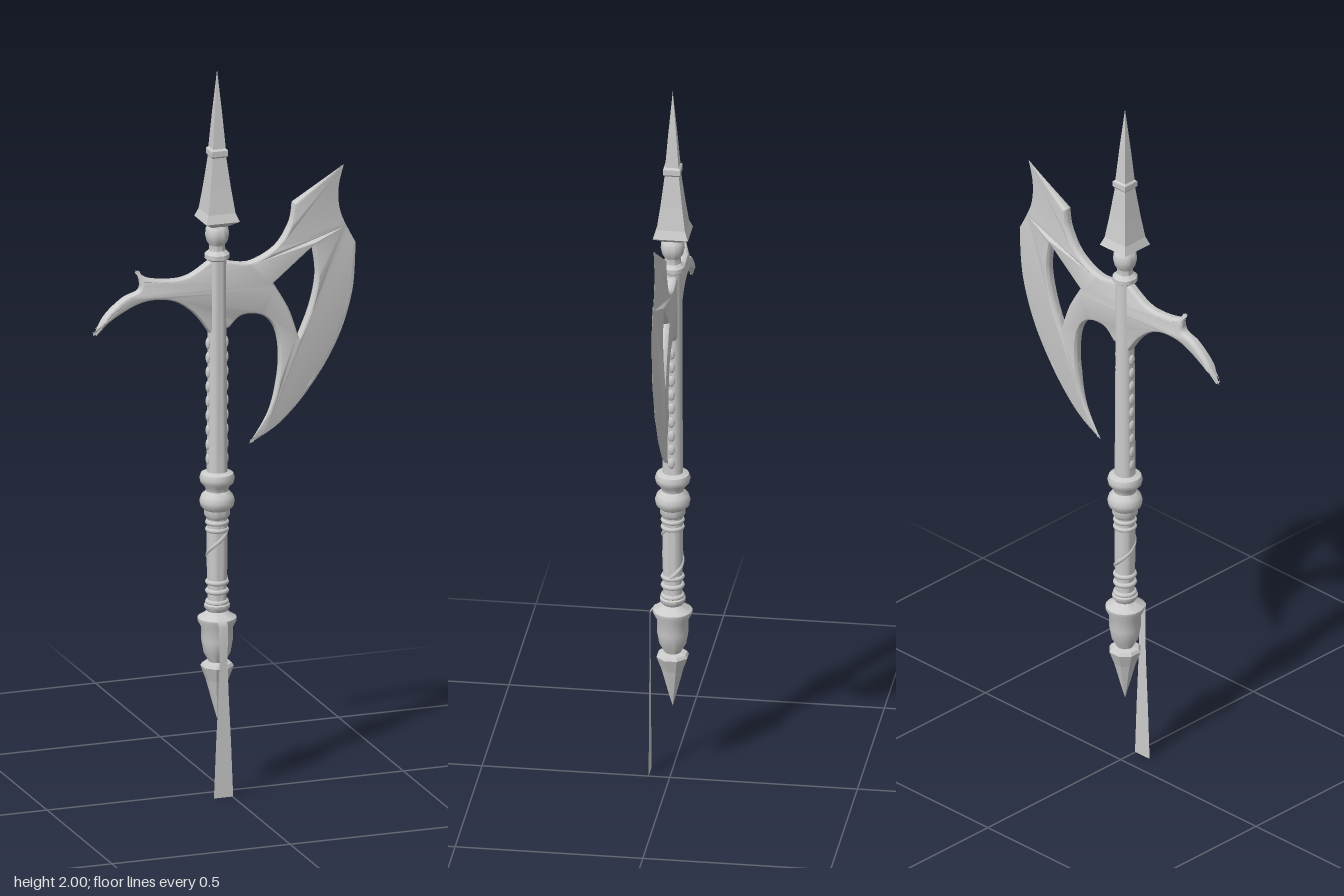
import * as THREE from 'three';
import { toCreasedNormals } from 'three/addons/utils/BufferGeometryUtils.js';

const AX = -0.021, AZ = -0.005; // pole axis
const smooth = new THREE.MeshStandardMaterial({ color: 0xcccccc });
const flat = new THREE.MeshStandardMaterial({ color: 0xcccccc, flatShading: true });
const thin = new THREE.MeshStandardMaterial({ color: 0xcccccc, side: THREE.DoubleSide });

const V = (pts) => pts.map(([x, y]) => new THREE.Vector2(x, y));

function part(name, geometry, material = smooth) {
  const mesh = new THREE.Mesh(geometry, material);
  mesh.name = name;
  return mesh;
}

// Round turning from [radius, y] pairs, bottom to top
const turned = (profile) => toCreasedNormals(new THREE.LatheGeometry(V(profile), 24), 0.7);

// Faceted turning: half-width is measured across the flats
function faceted(profile, sides) {
  const k = 1 / Math.cos(Math.PI / sides);
  const pts = V(profile.map(([r, y]) => [r * k, y]));
  return new THREE.LatheGeometry(pts, sides, Math.PI / sides).toNonIndexed();
}

// Path made of smooth runs that meet at sharp corners
function runs(path, list) {
  path.moveTo(...list[0][0]);
  for (const run of list) {
    if (run.length === 2) path.lineTo(...run[1]);
    else path.splineThru(V(run.slice(1)));
  }
  return path;
}

// Axe blade, hub and back hook as one plate, ground thin at the cutting edge
function headGeometry() {
  const upperEdge = [[0.335, 1.695], [0.32, 1.63], [0.327, 1.56], [0.368, 1.475]];
  const lowerEdge = [[0.368, 1.475], [0.358, 1.34], [0.315, 1.21], [0.24, 1.09], [0.155, 1.0], [0.068, 0.95]];
  const shape = runs(new THREE.Shape(), [
    [[0.01, 1.463], [0.07, 1.456], [0.14, 1.49], [0.18, 1.55], [0.19, 1.605]],
    [[0.19, 1.605], [0.335, 1.695]],
    upperEdge,
    lowerEdge,
    [[0.068, 0.95], [0.122, 1.035], [0.147, 1.13], [0.15, 1.21], [0.135, 1.27], [0.1, 1.305], [0.045, 1.31], [0.01, 1.28]],
    [[0.01, 1.28], [-0.045, 1.27]],
    [[-0.045, 1.27], [-0.09, 1.33], [-0.15, 1.37], [-0.23, 1.375], [-0.31, 1.34], [-0.37, 1.295]],
    [[-0.37, 1.295], [-0.335, 1.35], [-0.285, 1.392], [-0.24, 1.413], [-0.25, 1.465]],
    [[-0.25, 1.465], [-0.215, 1.44], [-0.15, 1.43], [-0.1, 1.437], [-0.045, 1.47]],
    [[-0.045, 1.47], [0.01, 1.463]],
  ]);
  shape.holes.push(runs(new THREE.Path(), [
    [[0.245, 1.48], [0.135, 1.39]],
    [[0.135, 1.39], [0.178, 1.315], [0.205, 1.235]],
    [[0.205, 1.235], [0.237, 1.315], [0.254, 1.4], [0.245, 1.48]],
  ]));
  const geo = new THREE.ExtrudeGeometry(shape, {
    depth: 0.004, curveSegments: 6, bevelEnabled: true, bevelSegments: 3,
    bevelThickness: 0.013, bevelSize: 0.008, bevelOffset: -0.008,
  });
  geo.translate(0, 0, -0.002);

  const edge = [upperEdge, lowerEdge].flatMap((e) => new THREE.SplineCurve(V(e)).getPoints(30));
  const tips = V([[-0.37, 1.295], [-0.25, 1.465]]);
  const pos = geo.attributes.position;
  const p = new THREE.Vector2();
  for (let i = 0; i < pos.count; i++) {
    p.set(pos.getX(i), pos.getY(i));
    const dEdge = Math.min(...edge.map((q) => q.distanceTo(p))) / 0.09;
    const dTip = Math.min(...tips.map((q) => q.distanceTo(p))) / 0.05;
    pos.setZ(i, pos.getZ(i) * Math.min(1, dEdge, dTip));
  }
  geo.translate(0, 0, AZ);
  return toCreasedNormals(geo, 0.6);
}

// Hanging ribbon: rows of [y, z, half-width], hooked over the pommel rim
function ribbonGeometry() {
  const rows = [[0.5, 0.022, 0.008], [0.485, 0.045, 0.012], [0.47, 0.056, 0.013], [0.38, 0.056, 0.011],
    [0.29, 0.056, 0.014], [0.15, 0.056, 0.021], [0, 0.056, 0.027]];
  const geo = new THREE.PlaneGeometry(1, 1, 1, rows.length - 1);
  const pos = geo.attributes.position;
  rows.forEach(([y, z, w], r) => {
    pos.setXYZ(2 * r, -0.025 - w, y, z);
    pos.setXYZ(2 * r + 1, -0.025 + w, y, z);
  });
  geo.computeVertexNormals();
  return geo;
}

export function createModel() {
  const model = new THREE.Group();
  model.name = 'poleAxe';
  const pole = new THREE.Group();
  pole.name = 'pole';
  pole.position.set(AX, 0, AZ);
  model.add(pole);

  // Square spear point with a small collar
  pole.add(part('spearPoint', faceted([
    [0, 1.562], [0.022, 1.565], [0.047, 1.582], [0.038, 1.605], [0.029, 1.67], [0.019, 1.755],
    [0.023, 1.76], [0.023, 1.775], [0.018, 1.78], [0.011, 1.87], [0, 1.995],
  ], 4), flat));

  // Turned neck under the spear
  pole.add(part('neck', turned([
    [0.026, 1.47], [0.033, 1.475], [0.033, 1.487], [0.022, 1.497], [0.021, 1.512], [0.028, 1.522],
    [0.032, 1.54], [0.03, 1.558], [0.02, 1.57],
  ])));

  // Shaft
  pole.add(part('shaft', turned([[0.028, 0.87], [0.026, 1.1], [0.025, 1.475]])));

  // Small studs down both sides of the shaft
  for (const side of [-1, 1]) {
    for (let i = 0; i < 9; i++) {
      const stud = part('stud', new THREE.SphereGeometry(1, 10, 8));
      stud.scale.set(0.006, 0.016, 0.01);
      stud.position.set(side * 0.0255, 0.92 + i * 0.04, 0);
      pole.add(stud);
    }
  }

  // Double collar above the grip
  pole.add(part('collar', turned([
    [0.027, 0.755], [0.034, 0.765], [0.034, 0.78], [0.044, 0.79], [0.047, 0.805], [0.042, 0.82], [0.03, 0.832],
    [0.032, 0.842], [0.044, 0.855], [0.047, 0.868], [0.043, 0.88], [0.027, 0.886],
  ])));

  // Grip with end bands and a winding wrap
  pole.add(part('grip', turned([[0.026, 0.5], [0.025, 0.56], [0.028, 0.64], [0.027, 0.76]])));
  for (const y of [0.525, 0.555, 0.58, 0.725, 0.745]) {
    const band = part('gripBand', new THREE.TorusGeometry(0.025, 0.007, 8, 24));
    band.rotation.x = Math.PI / 2;
    band.position.y = y;
    pole.add(band);
  }
  const helix = Array.from({ length: 17 }, (_, i) => {
    const a = (i / 16) * Math.PI * 2 + 0.3;
    return new THREE.Vector3(Math.cos(a) * 0.025, 0.73 - i * 0.0094, Math.sin(a) * 0.025);
  });
  pole.add(part('gripWrap', new THREE.TubeGeometry(new THREE.CatmullRomCurve3(helix), 48, 0.006, 6)));

  // Round pommel
  pole.add(part('pommel', turned([
    [0.018, 0.345], [0.022, 0.36], [0.036, 0.385], [0.042, 0.42], [0.042, 0.455], [0.052, 0.474], [0.052, 0.482],
    [0.036, 0.492], [0.027, 0.5], [0.034, 0.51], [0.034, 0.518], [0.026, 0.525],
  ])));

  // Faceted butt spike
  pole.add(part('buttSpike', faceted([
    [0, 0.2], [0.012, 0.245], [0.028, 0.31], [0.041, 0.348], [0.036, 0.356], [0, 0.366],
  ], 8), flat));

  model.add(part('axeHead', headGeometry()));
  model.add(part('ribbon', ribbonGeometry(), thin));
  return model;
}
